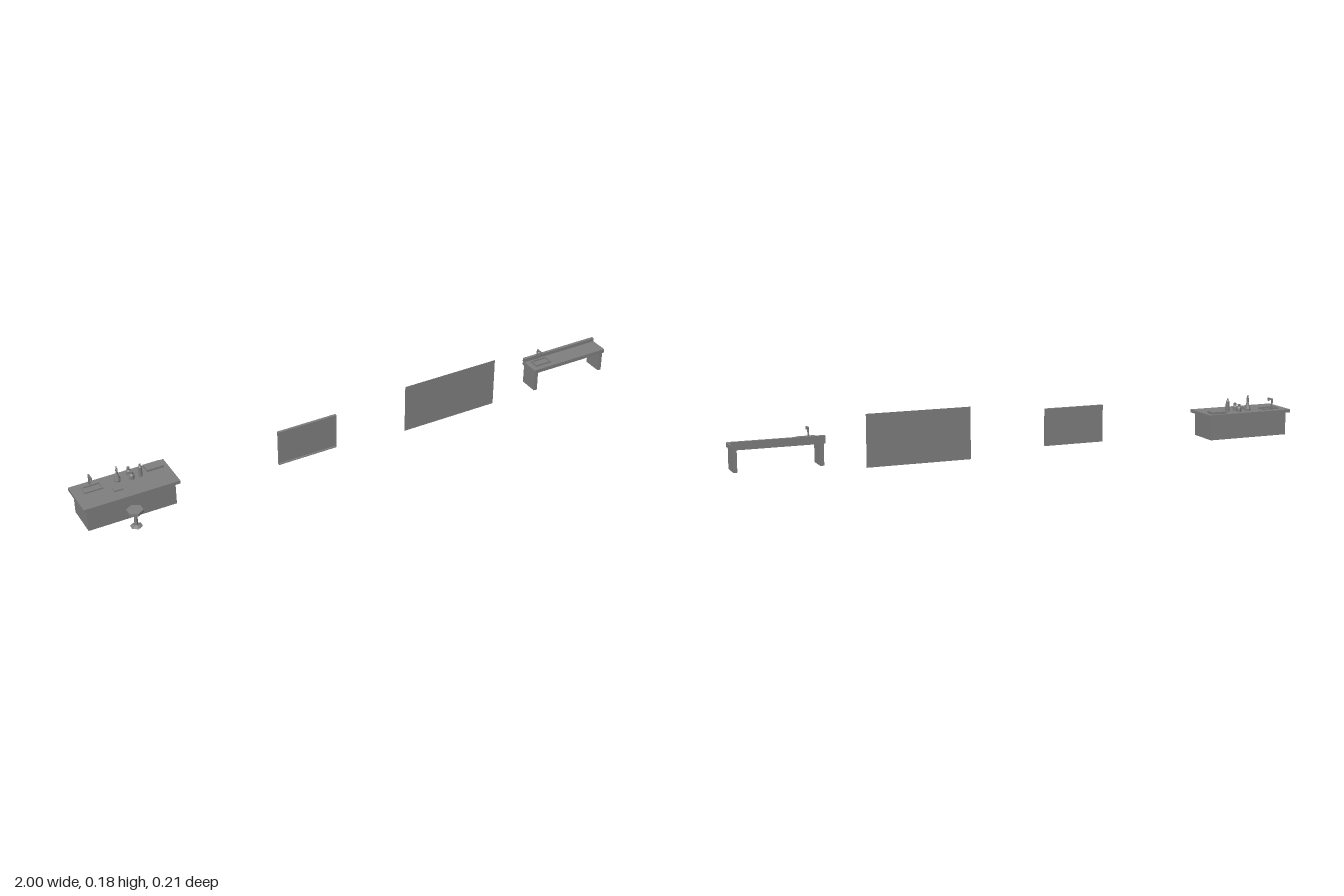
import * as THREE from 'three';

const mat = new THREE.MeshStandardMaterial({ color: 0x808080, flatShading: true });
const thin = new THREE.MeshStandardMaterial({ color: 0x808080, flatShading: true, side: THREE.DoubleSide });

function add(parent, name, geometry, x = 0, y = 0, z = 0, material = mat) {
  const mesh = new THREE.Mesh(geometry, material);
  mesh.name = name;
  mesh.position.set(x, y, z);
  parent.add(mesh);
  return mesh;
}

// Box given by its extents on each axis
function box(parent, name, [x0, x1], [y0, y1], [z0, z1]) {
  return add(parent, name, new THREE.BoxGeometry(x1 - x0, y1 - y0, z1 - z0),
    (x0 + x1) / 2, (y0 + y1) / 2, (z0 + z1) / 2);
}

function group(parent, name, x = 0, y = 0, z = 0) {
  const g = new THREE.Group();
  g.name = name;
  g.position.set(x, y, z);
  parent.add(g);
  return g;
}

// Rectangular ring in the XY plane, extruded along +z
function ring(w, h, border, depth) {
  const rect = (target, a, b) => target.moveTo(-a, -b).lineTo(a, -b).lineTo(a, b).lineTo(-a, b).closePath();
  const shape = rect(new THREE.Shape(), w / 2, h / 2);
  shape.holes.push(rect(new THREE.Path(), w / 2 - border, h / 2 - border));
  return new THREE.ExtrudeGeometry(shape, { depth, bevelEnabled: false });
}

// Sink rim with a floor and a bent tap behind it
function sink(parent, x, y, z) {
  const g = group(parent, 'sink', x, y, z);
  add(g, 'sinkRim', ring(0.064, 0.035, 0.004, 0.006)).rotation.x = -Math.PI / 2;
  box(g, 'sinkFloor', [-0.03, 0.03], [0, 0.001], [-0.015, 0.015]);
  box(g, 'tapPost', [-0.0025, 0.0025], [0, 0.041], [-0.026, -0.021]);
  box(g, 'tapArm', [-0.0025, 0.0025], [0.036, 0.041], [-0.021, 0.001]);
  box(g, 'tapSpout', [-0.0025, 0.0025], [0.03, 0.036], [-0.004, 0.001]);
}

// Turned vessel from a few [radius, height] pairs
function vessel(parent, name, x, z, profile) {
  const points = profile.map(([r, h]) => new THREE.Vector2(r, h));
  add(parent, name, new THREE.LatheGeometry(points, 8), x, 0.108, z, thin);
}

export function createModel() {
  const root = new THREE.Group();
  root.name = 'laboratoryFurniture';

  // Large work table, hollow and open underneath
  const table = group(root, 'workTable');
  box(table, 'tableTop', [-1, -0.672], [0.097, 0.108], [-0.104, 0.035]);
  add(table, 'tableBase', ring(0.303, 0.116, 0.001, 0.081), -0.837, 0.016, -0.034)
    .rotation.x = -Math.PI / 2;
  sink(table, -0.934, 0.107, -0.062);
  box(table, 'tray', [-0.747, -0.688], [0.108, 0.116], [-0.095, -0.06]);
  box(table, 'smallBox', [-0.88, -0.85], [0.108, 0.113], [-0.03, -0.008]);

  // Glassware
  vessel(table, 'tallFlask', -0.848, -0.063,
    [[0, 0], [0.011, 0], [0.011, 0.006], [0.004, 0.028], [0.004, 0.045], [0.002, 0.047], [0.002, 0.055], [0, 0.055]]);
  vessel(table, 'bottle', -0.773, -0.052,
    [[0, 0], [0.007, 0], [0.007, 0.035], [0.003, 0.04], [0.003, 0.046], [0, 0.046]]);
  for (const z of [-0.079, -0.052])
    vessel(table, 'shortFlask', -0.803, z,
      [[0, 0], [0.009, 0], [0.009, 0.014], [0.005, 0.02], [0.005, 0.028], [0, 0.028]]);

  // Six-sided stool
  const stool = group(root, 'stool', -0.848, 0, 0.077);
  add(stool, 'seat', new THREE.CylinderGeometry(0.028, 0.028, 0.009, 6), 0, 0.0795, 0);
  add(stool, 'stem', new THREE.CylinderGeometry(0.006, 0.006, 0.05, 6), 0, 0.05, 0);
  add(stool, 'foot', new THREE.CylinderGeometry(0.007, 0.021, 0.006, 6), 0, 0.023, 0);

  // Framed wall board
  const board = group(root, 'framedBoard', -0.1965, 0.0895, 0);
  add(board, 'boardFrame', ring(0.217, 0.129, 0.003, 0.009), 0, 0, -0.004);
  add(board, 'boardPanel', new THREE.BoxGeometry(0.212, 0.124, 0.003), 0, 0, -0.0024);

  // Large flat sheet
  add(root, 'wallSheet', new THREE.PlaneGeometry(0.365, 0.179), 0.3655, 0.0895, 0, thin);

  // Side bench with two panel legs
  const bench = group(root, 'sideBench');
  box(bench, 'benchTop', [0.695, 1], [0.098, 0.112], [-0.036, 0.038]);
  box(bench, 'backsplash', [0.695, 1], [0.112, 0.125], [-0.037, -0.027]);
  for (const x of [0.7, 0.982])
    box(bench, 'benchLeg', [x, x + 0.013], [0.026, 0.098], [-0.034, 0.035]);
  sink(bench, 0.747, 0.112, 0.002);

  return root;
}
